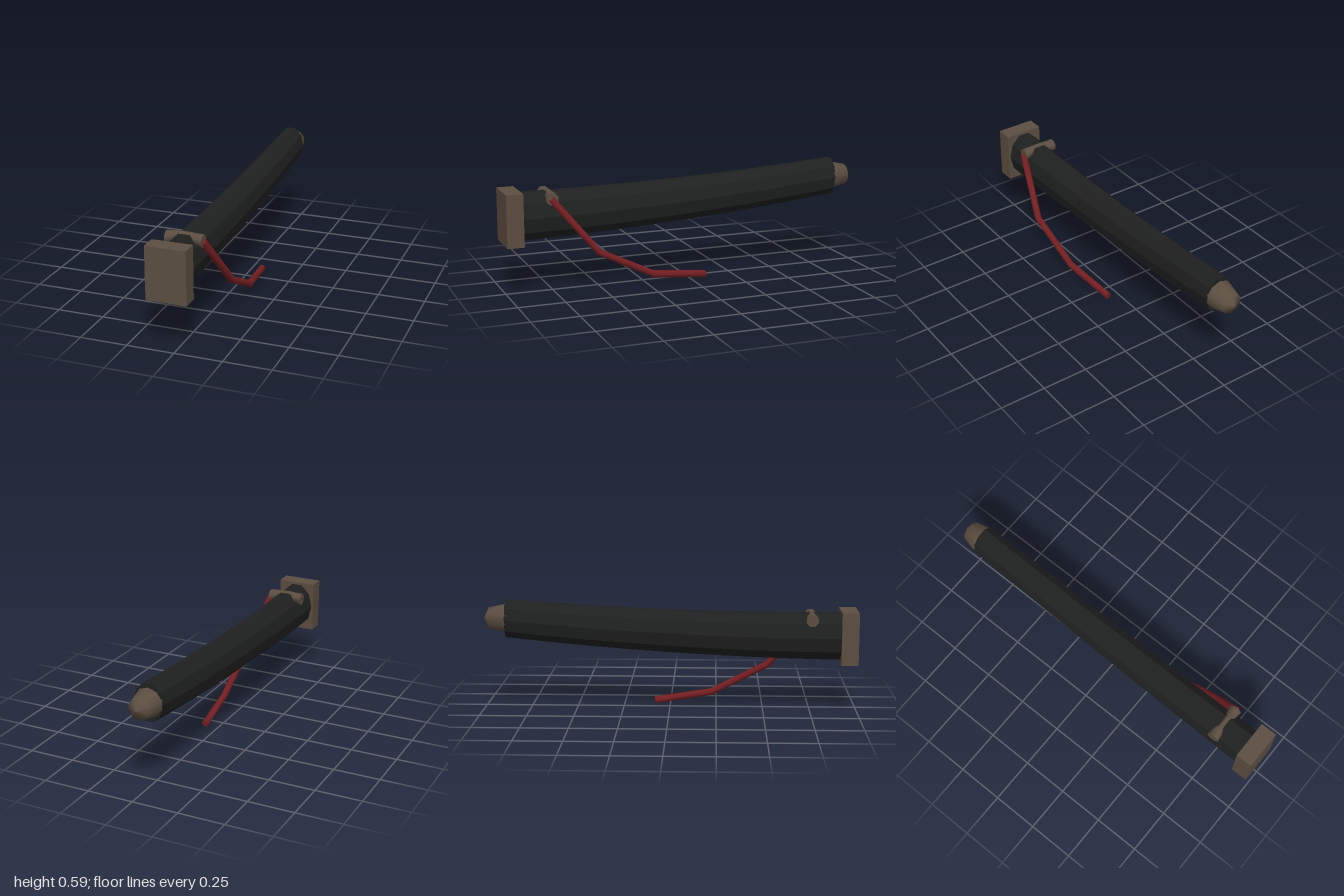
import * as THREE from 'three';

const CX = -0.035; // centre line of the sheath
const V = (x, y, z) => new THREE.Vector3(x, y, z);

// Skin a row of rings { c, u, v }; u x v points towards the next ring.
function loft(rings, sides, phase, flat) {
  const pos = [], idx = [];
  const addRing = ({ c, u, v }) => {
    for (let j = 0; j < sides; j++) {
      const a = phase + (j / sides) * Math.PI * 2;
      const p = c.clone().addScaledVector(u, Math.cos(a)).addScaledVector(v, Math.sin(a));
      pos.push(p.x, p.y, p.z);
    }
  };
  rings.forEach(addRing);
  for (let i = 0; i < rings.length - 1; i++) {
    for (let j = 0; j < sides; j++) {
      const a = i * sides + j, b = i * sides + (j + 1) % sides;
      idx.push(a, b, a + sides, b, b + sides, a + sides);
    }
  }
  // separate end caps keep the rims sharp
  [rings[0], rings[rings.length - 1]].forEach((ring, end) => {
    const s = pos.length / 3;
    addRing(ring);
    for (let j = 1; j < sides - 1; j++) {
      if (end) idx.push(s, s + j, s + j + 1);
      else idx.push(s, s + j + 1, s + j);
    }
  });
  let g = new THREE.BufferGeometry();
  g.setAttribute('position', new THREE.Float32BufferAttribute(pos, 3));
  g.setIndex(idx);
  if (flat) g = g.toNonIndexed();
  g.computeVertexNormals();
  return g;
}

export function createModel() {
  const black = new THREE.MeshStandardMaterial({ color: 0x1f2020 });
  const brown = new THREE.MeshStandardMaterial({ color: 0x5c4e41 });
  const red = new THREE.MeshStandardMaterial({ color: 0x761f22 });
  black.name = 'black lacquer';
  brown.name = 'brown fittings';
  red.name = 'dark red cord';

  const group = new THREE.Group();
  group.name = 'sheath';
  const add = (name, geometry, material) => {
    const mesh = new THREE.Mesh(geometry, material);
    mesh.name = name;
    group.add(mesh);
    return mesh;
  };

  // Mouth collar
  add('mouthCollar', new THREE.BoxGeometry(0.212, 0.28, 0.09), brown).position.set(CX, 0.402, 0.955);

  // Curved, tapering ten-sided body, from the tip to the mouth
  const body = [];
  for (let i = 0; i <= 8; i++) {
    const t = 1 - i / 8; // 0 at mouth, 1 at tip
    body.push({
      c: V(CX, 0.404 + 0.086 * t * t, 0.92 - 1.8 * t),
      u: V(0.096 - 0.017 * t, 0, 0),
      v: V(0, 0.131 - 0.026 * t, 0),
    });
  }
  add('sheathBody', loft(body, 10, 0, true), black);

  // Rounded end cap
  const cap = new THREE.LatheGeometry(
    [[0.076, -0.02], [0.078, 0], [0.057, 0.092], [0, 0.12]].map(([r, y]) => new THREE.Vector2(r, y)), 10);
  cap.rotateX(-Math.PI / 2);
  add('endCap', cap, brown).position.set(CX, 0.49, -0.88);

  // Cord toggle: flared ends joined by a thin bridge over the sheath
  const half = [[0.097, 0.034, 0.5], [0.05, 0.028, 0.508], [0.033, 0.015, 0.524]];
  const profile = [...half.map(([x, r, y]) => [-x, r, y]), ...half.reverse()];
  const toggle = profile.map(([x, r, y]) => ({ c: V(CX + x, y, 0.755), u: V(0, r, 0), v: V(0, 0, r) }));
  add('cordToggle', loft(toggle, 8, Math.PI / 8, false), brown);

  // Hanging cord
  const path = [V(0.06, 0.5, 0.76), V(0.12, 0.215, 0.53), V(0.104, 0.062, 0.225), V(0.068, 0.021, -0.085)];
  const cord = path.map((c, i) => {
    const before = path[Math.max(i - 1, 0)], after = path[Math.min(i + 1, path.length - 1)];
    const dir = c.clone().sub(before).normalize().add(after.clone().sub(c).normalize()).normalize();
    const u = V(1, 0, 0).projectOnPlane(dir).setLength(0.02);
    return { c, u, v: dir.clone().cross(u) };
  });
  add('hangingCord', loft(cord, 6, 0, false), red);

  return group;
}
